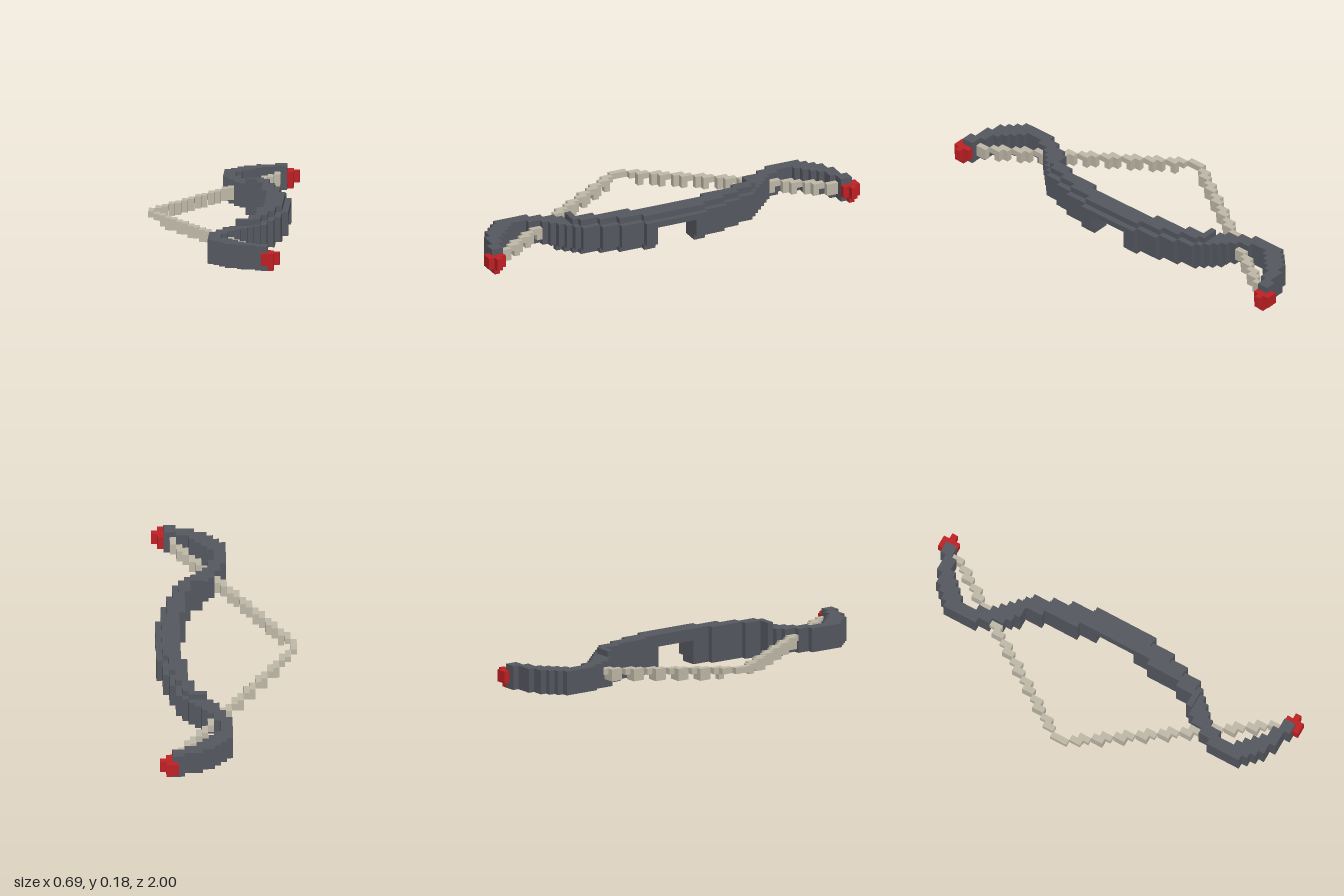
import * as THREE from 'three';
import { mergeGeometries } from 'three/addons/utils/BufferGeometryUtils.js';

const U = 2 / 67; // edge length of one block

// Box covering block indices [i0..i1] x [j0..j1] x [k0..k1]
function blocks(i0, i1, j0, j1, k0, k1) {
  const g = new THREE.BoxGeometry((i1 - i0 + 1) * U, (j1 - j0 + 1) * U, (k1 - k0 + 1) * U);
  g.translate(((i0 + i1 + 1) / 2 - 11.5) * U, ((j0 + j1 + 1) / 2) * U, ((k0 + k1 + 1) / 2 - 33.5) * U);
  return g;
}

// Limb outline for one half: [first row, last row, inner column, outer column]
const RUNS = [
  [1, 1, 19, 20], [2, 2, 16, 20], [3, 3, 14, 18], [4, 4, 13, 16], [5, 5, 12, 15],
  [6, 6, 11, 14], [7, 7, 11, 13], [8, 10, 11, 12], [11, 11, 11, 13], [12, 12, 12, 13],
  [13, 13, 12, 14], [14, 14, 13, 15], [15, 15, 13, 16], [16, 16, 14, 17], [17, 17, 15, 18],
  [18, 20, 17, 19], [21, 23, 18, 20], [24, 26, 18, 21], [27, 27, 19, 21], [28, 29, 19, 22],
];

export function createModel() {
  const group = new THREE.Group();
  const darkGrey = new THREE.MeshStandardMaterial({ color: 0x555860 });
  darkGrey.name = 'dark grey';
  const beige = new THREE.MeshStandardMaterial({ color: 0xbfb9a8 });
  beige.name = 'beige';
  const red = new THREE.MeshStandardMaterial({ color: 0xc02024 });
  red.name = 'red';

  const add = (name, parts, material) => {
    const mesh = new THREE.Mesh(mergeGeometries(parts), material);
    mesh.name = name;
    group.add(mesh);
  };

  for (const [side, flip] of [['Back', false], ['Front', true]]) {
    const put = (i0, i1, j0, j1, k0, k1) =>
      flip ? blocks(i0, i1, j0, j1, 66 - k1, 66 - k0) : blocks(i0, i1, j0, j1, k0, k1);

    // Curved limb with a narrower ridge above and below
    const limb = [];
    for (const [k0, k1, a, b] of RUNS) {
      limb.push(put(a, b, 1, 4, k0, k1));
      if (k0 < 15) continue;
      const inner = Math.max(15, a);
      const outer = Math.max(inner, b - 1);
      limb.push(put(inner, outer, 0, 0, k0, k1));
      if (k0 >= 17) limb.push(put(inner, outer, 5, 5, k0, k1));
    }
    add('limb' + side, limb, darkGrey);

    // Half of the drawn string, stepping from the nock to the tip
    const insideLimb = (i, k) => RUNS.some(([k0, k1, a, b]) => k >= k0 && k <= k1 && i >= a && i <= b);
    const string = [];
    for (let i = 0; i < 20; i++) {
      const top = Math.floor(33 - 1.5 * i);
      for (let k = top - 1; k <= top; k++) {
        if (insideLimb(i, k) || (flip && k === 33)) continue;
        const low = i >= 2 && (i % 2 === 1 || k === top) ? 2 : 3;
        string.push(put(i, i, low, 3, k, k));
      }
    }
    add('string' + side, string, beige);

    // Tip cap
    add('tip' + side, [
      put(20, 21, 2, 3, 0, 0),
      put(21, 22, 2, 3, 1, 1),
      put(21, 21, 1, 1, 1, 1),
      put(21, 21, 2, 3, 2, 2),
    ], red);
  }

  // Raised grip bridging the two limbs
  add('grip', [blocks(19, 22, 4, 4, 30, 36), blocks(19, 21, 5, 5, 30, 36)], darkGrey);

  return group;
}
